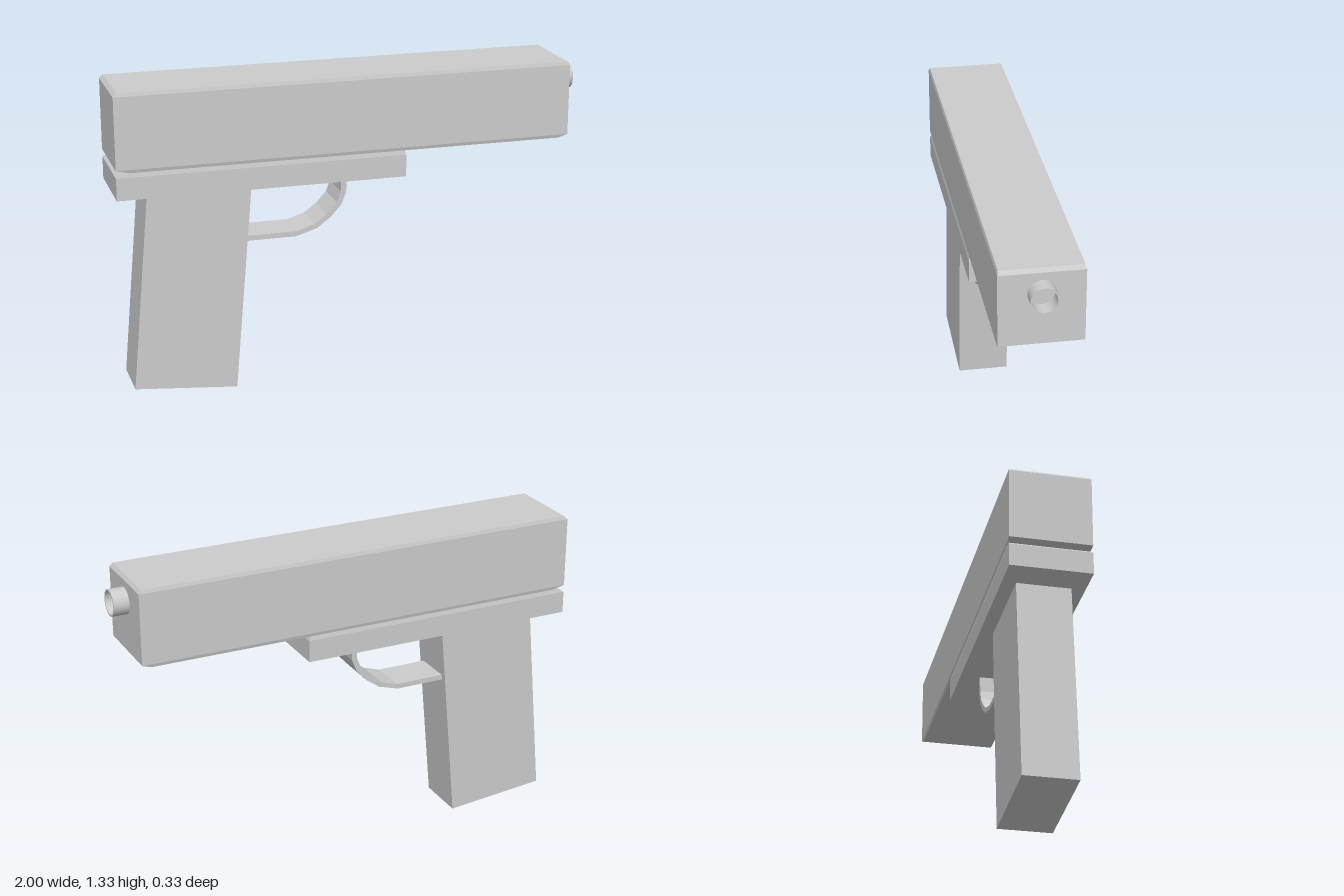
import * as THREE from 'three';

const grey = new THREE.MeshStandardMaterial({ color: 0xcccccc, flatShading: true });
const smoothGrey = new THREE.MeshStandardMaterial({ color: 0xcccccc, side: THREE.DoubleSide });

function named(name, geometry, material = grey) {
  const mesh = new THREE.Mesh(geometry, material);
  mesh.name = name;
  return mesh;
}

// Box shaped by horizontal levels, bottom to top: [y, xMin, xMax, halfDepth]
function levelledBox(levels) {
  const n = levels.length - 1;
  const geo = new THREE.BoxGeometry(1, 1, 1, 1, n, 1);
  const p = geo.attributes.position;
  for (let i = 0; i < p.count; i++) {
    const [y, x0, x1, half] = levels[Math.round((p.getY(i) + 0.5) * n)];
    p.setXYZ(i, p.getX(i) < 0 ? x0 : x1, y, Math.sign(p.getZ(i)) * half);
  }
  const flat = geo.toNonIndexed();
  flat.computeVertexNormals();
  return flat;
}

// Side outline in x and y, extruded evenly about z = 0
function sidePlate(points, depth) {
  const shape = new THREE.Shape(points.map(([x, y]) => new THREE.Vector2(x, y)));
  return new THREE.ExtrudeGeometry(shape, { depth, bevelEnabled: false }).translate(0, 0, -depth / 2);
}

export function createModel() {
  const model = new THREE.Group();
  model.name = 'pistol';

  // Upper block with chamfered top and bottom edges
  model.add(named('slide', levelledBox([
    [1.0, -0.945, 0.895, 0.163],
    [1.014, -1, 0.935, 0.167],
    [1.315, -1, 0.935, 0.167],
    [1.33, -0.985, 0.923, 0.163],
  ])));

  // Lower block with a chamfered top edge
  model.add(named('frame', levelledBox([
    [0.888, -1, 0.215, 0.167],
    [0.982, -1, 0.215, 0.167],
    [1.0, -0.975, 0.208, 0.163],
  ])));

  // Slanted grip, its top sunk into the frame
  model.add(named('grip', sidePlate(
    [[-0.946, 0.042], [-0.511, 0.002], [-0.431, 0.92], [-0.866, 0.92]], 0.222)));

  // Curved faceted guard strip, from the grip up to the frame
  const outer = [[-0.47, 0.64], [-0.24, 0.64], [-0.15, 0.667], [-0.09, 0.71],
    [-0.042, 0.762], [-0.021, 0.815], [-0.016, 0.9]];
  const inner = [[-0.47, 0.662], [-0.235, 0.662], [-0.16, 0.686], [-0.105, 0.726],
    [-0.062, 0.773], [-0.045, 0.82], [-0.04, 0.9]];
  model.add(named('triggerGuard', sidePlate([...outer, ...inner.reverse()], 0.166)));

  // Short hollow barrel end
  const ring = [[0.048, 0], [0.048, 0.075], [0.055, 0.075], [0.055, 0]];
  const barrel = new THREE.Group();
  barrel.name = 'barrel';
  for (let i = 0; i < 3; i++) {
    const wall = ring.slice(i, i + 2).map(([r, h]) => new THREE.Vector2(r, h));
    barrel.add(named(['barrelBore', 'barrelRim', 'barrelWall'][i],
      new THREE.LatheGeometry(wall, 32), smoothGrey));
  }
  barrel.rotation.z = -Math.PI / 2;
  barrel.position.set(0.925, 1.23, 0);
  model.add(barrel);

  return model;
}
